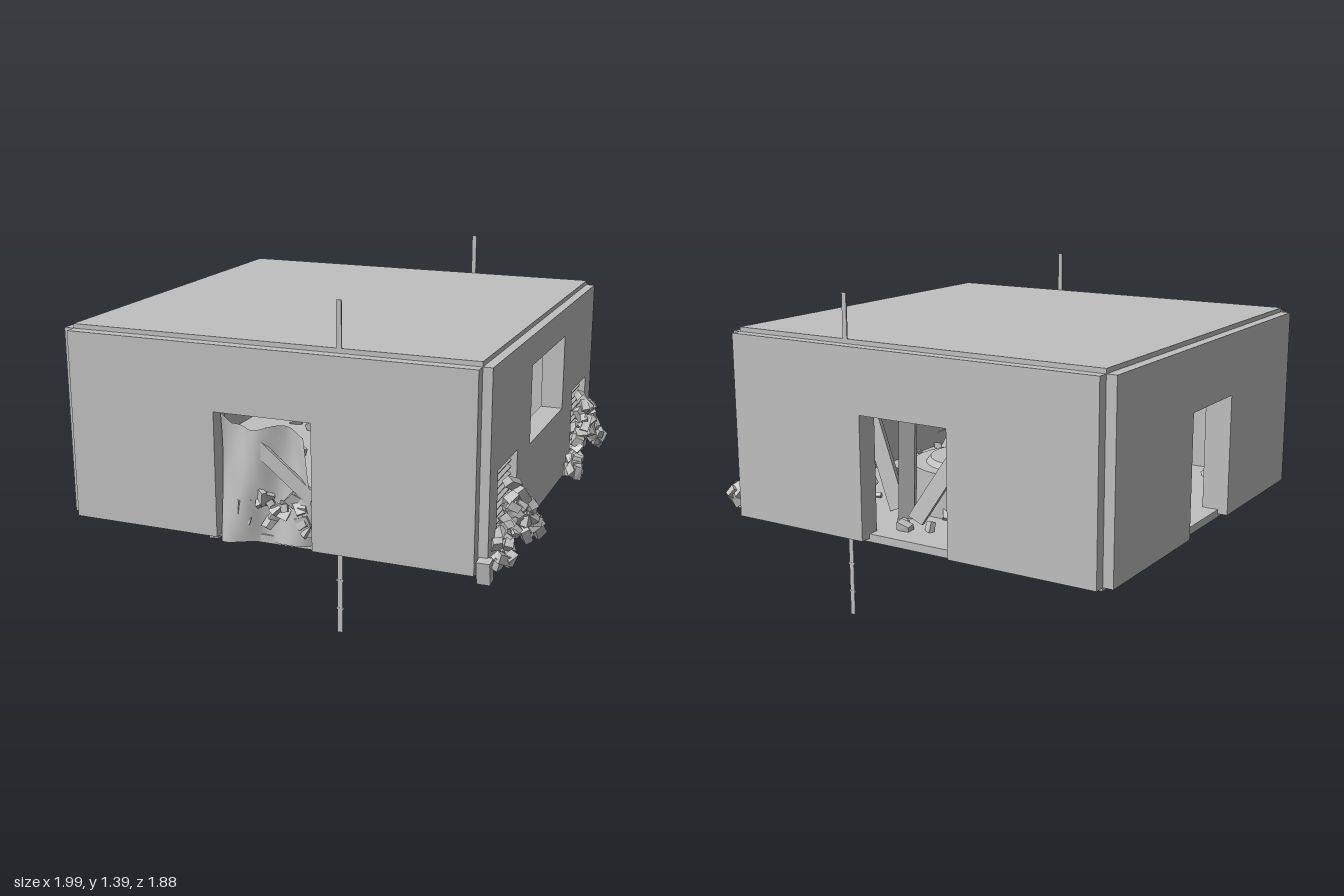
import * as THREE from 'three';

export function createModel() {
  const model = new THREE.Group();
  const concrete = new THREE.MeshStandardMaterial({ color: 0xc0c0c0 });
  concrete.name = 'grey concrete';
  concrete.side = THREE.DoubleSide;

  let seed = 7;
  const rnd = (a = 0, b = 1) => {
    seed = (seed * 16807) % 2147483647;
    return a + (b - a) * seed / 2147483647;
  };

  const add = (name, geo, x = 0, y = 0, z = 0, parent = model) => {
    const mesh = new THREE.Mesh(geo, concrete);
    mesh.name = name;
    mesh.position.set(x, y, z);
    parent.add(mesh);
    return mesh;
  };
  // Box given by its minimum and maximum corners
  const slab = (name, x0, x1, y0, y1, z0, z1, parent) =>
    add(name, new THREE.BoxGeometry(x1 - x0, y1 - y0, z1 - z0),
      (x0 + x1) / 2, (y0 + y1) / 2, (z0 + z1) / 2, parent);

  // Wall panel with an optional doorway [u0, u1, top] and window holes [u0, u1, y0, y1]
  const Y0 = 0.36, Y1 = 1.18, T = 0.1;
  const wall = (name, u0, u1, door, holes) => {
    const pts = [[u0, Y0]];
    if (door) pts.push([door[0], Y0], [door[0], door[2]], [door[1], door[2]], [door[1], Y0]);
    pts.push([u1, Y0], [u1, Y1], [u0, Y1]);
    const shape = new THREE.Shape(pts.map(p => new THREE.Vector2(...p)));
    for (const [a, b, c, d] of holes) {
      shape.holes.push(new THREE.Path([[a, c], [a, d], [b, d], [b, c]].map(p => new THREE.Vector2(...p))));
    }
    return add(name, new THREE.ExtrudeGeometry(shape, { depth: T, bevelEnabled: false }));
  };

  // Four walls, stepped at the corners
  const doorway = [-0.28, 0.15, 0.9];
  wall('frontWall', -0.955, 0.83, doorway, []).position.z = 0.835;
  wall('backWall', -0.955, 0.83, doorway, []).position.z = -0.94;
  const rightWall = wall('rightWall', -0.89, 0.885, null, [
    [-0.29, 0.29, 0.71, 1.05], [0.49, 0.775, 0.45, 0.745], [-0.775, -0.49, 0.45, 0.745]]);
  const leftWall = wall('leftWall', -0.89, 0.885, [-0.2, 0.2, 0.905], []);
  rightWall.rotation.y = leftWall.rotation.y = -Math.PI / 2;
  rightWall.position.x = 0.87;
  leftWall.position.x = -0.9;

  // Floor and roof
  slab('floor', -0.955, 0.83, 0.345, 0.38, -0.89, 0.885);
  slab('roof', -0.955, 0.83, 1.165, 1.2, -0.89, 0.885);

  // Trim around the inside of the left doorway
  for (const s of [-1, 1]) slab('doorJamb', -0.9, -0.88, 0.38, 0.905, s * 0.22 - 0.018, s * 0.22 + 0.018);
  slab('doorLintel', -0.9, -0.88, 0.905, 0.938, -0.238, 0.238);

  // Tall flat rods with small collars at front and back
  for (const z of [-0.888, 0.882]) {
    slab('rod', 0.24, 0.262, 0, 1.39, z - 0.003, z + 0.003);
    for (const y of [0.105, 0.23]) slab('rodCollar', 0.235, 0.267, y - 0.004, y + 0.004, z - 0.004, z + 0.004);
  }

  // Chipped block: a box with its corners nudged, equal corners moving together
  const block = (name, w, h, d, x, y, z, tilt = 3, parent = model) => {
    const g = new THREE.BoxGeometry(w, h, d).toNonIndexed();
    const p = g.attributes.position;
    const nudge = Array.from({ length: 8 }, () => [rnd(0.72, 1.05), rnd(0.72, 1.05), rnd(0.72, 1.05)]);
    for (let i = 0; i < p.count; i++) {
      const n = nudge[(p.getX(i) > 0 ? 1 : 0) + (p.getY(i) > 0 ? 2 : 0) + (p.getZ(i) > 0 ? 4 : 0)];
      p.setXYZ(i, p.getX(i) * n[0], p.getY(i) * n[1], p.getZ(i) * n[2]);
    }
    g.computeVertexNormals();
    const mesh = add(name, g, x, y, z, parent);
    mesh.rotation.set(rnd(-tilt, tilt), rnd(-tilt, tilt), rnd(-tilt, tilt));
    return mesh;
  };

  // Louvred openings with rubble spilling down both sides
  for (const side of [-1, 1]) {
    const c = side * 0.632;
    const vent = new THREE.Group();
    vent.name = 'vent';
    model.add(vent);
    slab('ventBack', 0.775, 0.785, 0.45, 0.745, c - 0.143, c + 0.143, vent);
    for (let y = 0.465; y < 0.74; y += 0.03) {
      const slat = slab('ventSlat', 0.8, 0.845, y - 0.006, y + 0.006, c - 0.143, c + 0.143, vent);
      slat.rotation.z = -0.45;
    }

    const pile = new THREE.Group();
    pile.name = 'rubblePile';
    model.add(pile);
    for (let i = 0; i < 46; i++) {
      const t = Math.pow(rnd(), 0.8);
      const z = c + (i % 2 ? 1 : -1) * 0.25 * t;
      const y = 0.635 - 0.235 * t + rnd(-0.07, 0.04) * (1 - 0.4 * t);
      const x = 0.885 + rnd(0, 0.025 + 0.035 * Math.min(1, (0.7 - y) * 5));
      block('brick', rnd(0.03, 0.05), rnd(0.05, 0.1), rnd(0.035, 0.06), x, y, z, 1.1, pile);
    }
    for (let i = 0; i < 5; i++) {
      block('looseBrick', 0.04, 0.075, 0.055, rnd(0.9, 0.945), rnd(0.37, 0.4), side * rnd(0.36, 0.46), 0.7, pile);
    }
  }
  slab('cornerBlock', 0.835, 0.89, 0.325, 0.42, 0.87, 0.92).rotation.x = 0.15;

  // Torn curtain in the front doorway
  const cloth = new THREE.PlaneGeometry(1, 1, 32, 32);
  const cp = cloth.attributes.position;
  for (let i = 0; i < cp.count; i++) {
    const u = cp.getX(i) + 0.5, v = cp.getY(i) + 0.5;
    const left = -0.27, right = 0.15 - 0.05 * v * v;
    const top = 0.845 + 0.025 * Math.cos(u * 9) * u + (u < 0.12 ? (0.12 - u) * 0.35 : 0);
    const bottom = 0.335 + 0.035 * u;
    cp.setXYZ(i, left + (right - left) * u, bottom + (top - bottom) * v,
      0.9 + 0.02 * Math.sin(u * 9 - v * 3.5 + 0.6) + 0.004 * Math.sin(u * 23 + v * 5));
  }
  cloth.computeVertexNormals();
  add('curtain', cloth);

  // Broken plank and chips caught in the curtain
  const plank = add('brokenPlank', new THREE.BoxGeometry(0.31, 0.06, 0.015), 0.025, 0.67, 0.91);
  plank.rotation.z = -0.68;
  for (let i = 0; i < 22; i++) {
    const s = rnd(0.025, 0.06);
    block('curtainChip', s, s * 1.2, 0.025, rnd(-0.18, 0.12), rnd(0.43, 0.57), rnd(0.895, 0.915), 0.8);
  }
  block('curtainChunk', 0.07, 0.1, 0.04, 0.11, 0.45, 0.905, 0.4);

  // Round drum inside, with a hanging lamp above
  add('drum', new THREE.CylinderGeometry(0.28, 0.28, 0.2, 40), 0.02, 0.48, -0.28);
  add('drumTop', new THREE.CylinderGeometry(0.2, 0.22, 0.025, 40), 0.02, 0.592, -0.28);
  slab('lampStem', -0.012, 0.012, 1.03, 1.165, -0.012, 0.012);
  slab('lamp', -0.03, 0.03, 1.015, 1.03, -0.03, 0.03);

  // Fallen beams leaning inside
  for (const [x, z, tx, tz] of [[0.5, 0.45, 0.3, 0.35], [0.35, -0.55, 0.2, -0.4],
    [0.1, -0.68, -0.3, 0.2], [-0.1, -0.62, 0.25, 0.45]]) {
    const beam = add('fallenBeam', new THREE.BoxGeometry(0.07, 0.6, 0.05), x, 0.67, z);
    beam.rotation.set(tx, 0.4, tz);
  }

  // Scattered floor debris
  for (let i = 0; i < 70; i++) {
    const s = rnd(0.02, 0.06);
    block('floorDebris', s, s * 0.7, s * 1.3, rnd(-0.8, 0.75), 0.385 + s * 0.2, rnd(-0.8, 0.8));
  }

  // Debris poking through the underside
  for (let i = 0; i < 18; i++) {
    const near = i < 12;
    block('undersideDebris', 0.05, 0.025, 0.06,
      near ? rnd(-0.34, 0.2) : rnd(-0.66, -0.5), 0.342, near ? rnd(0.6, 0.85) : rnd(0.5, 0.7), 0.35);
  }

  return model;
}
